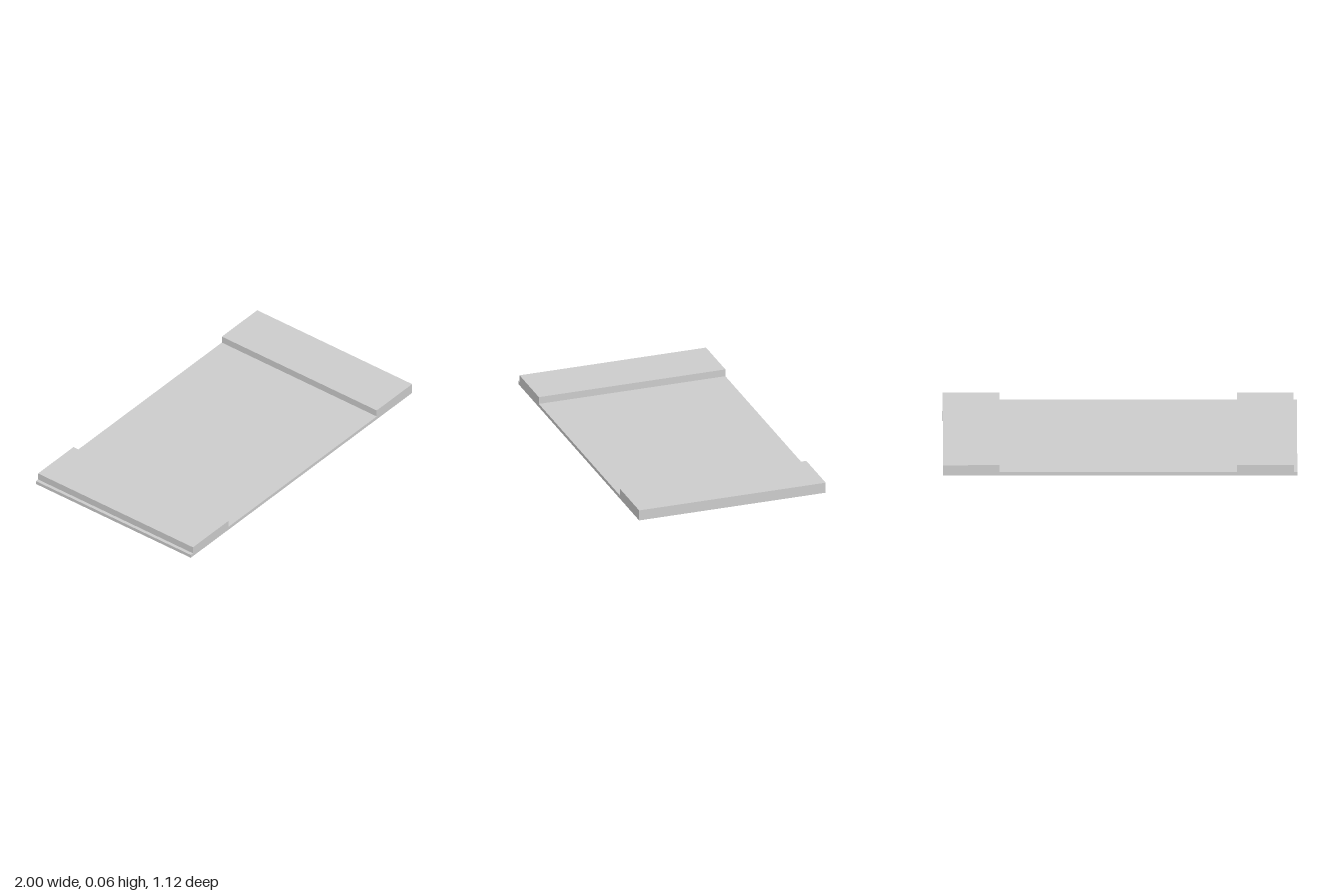
import * as THREE from 'three';

const DEPTH = 1.12;
const BASE_TOP = 0.02;
const TOP = 0.062;

export function createModel() {
  const group = new THREE.Group();
  const material = new THREE.MeshStandardMaterial({ color: 0xcccccc });

  // Box spanning x0..x1 and y0..y1 over the full depth
  const slab = (name, x0, x1, y0, y1) => {
    const mesh = new THREE.Mesh(new THREE.BoxGeometry(x1 - x0, y1 - y0, DEPTH), material);
    mesh.position.set((x0 + x1) / 2, (y0 + y1) / 2, 0);
    mesh.name = name;
    group.add(mesh);
  };

  // Thin base plate
  slab('basePlate', -1, 1, 0, BASE_TOP);

  // Raised end blocks; the right one is set in slightly from the edge
  slab('rightBlock', -0.98, -0.66, BASE_TOP, TOP);
  slab('leftBlock', 0.68, 1, BASE_TOP, TOP);

  return group;
}
